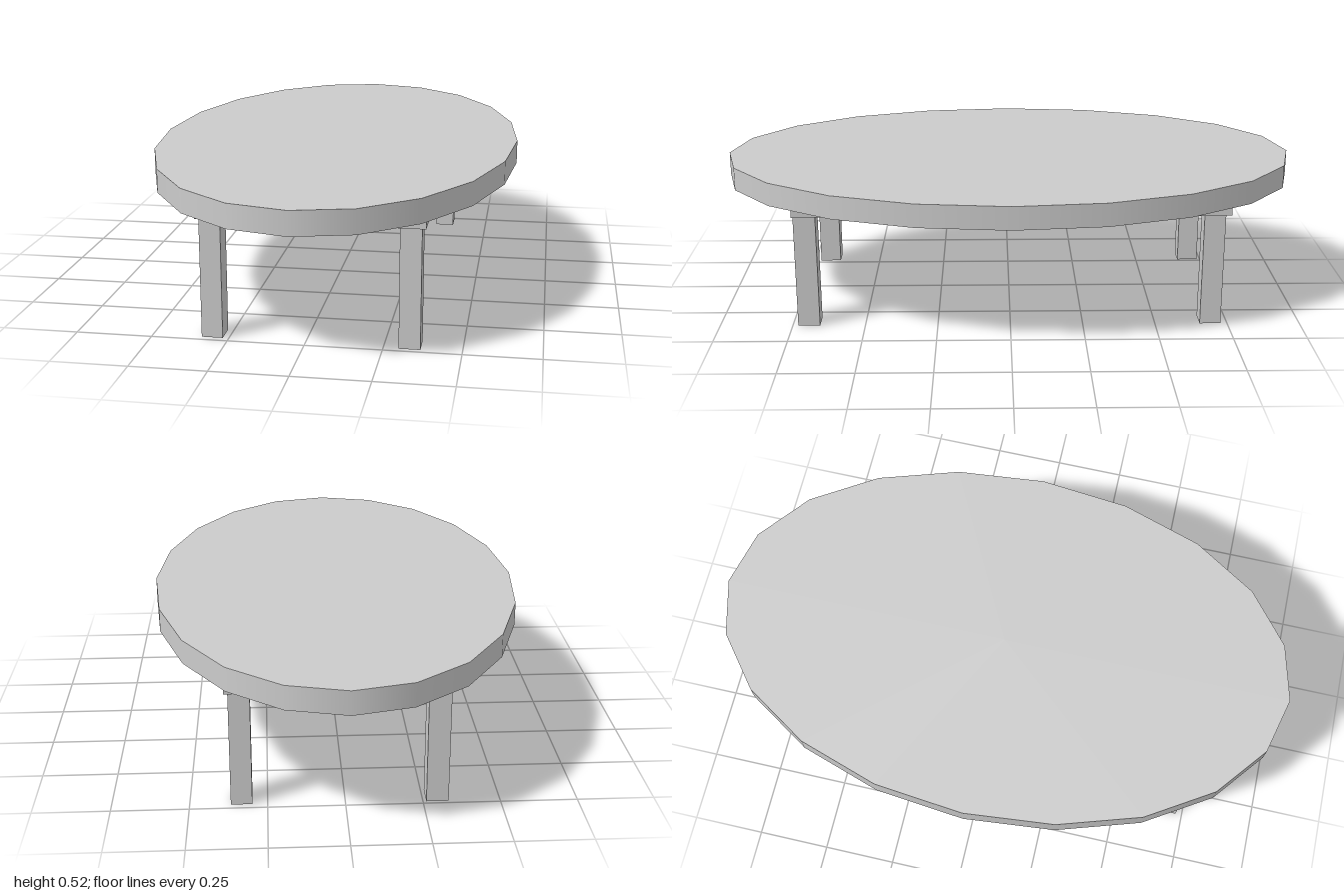
import * as THREE from 'three';

const material = new THREE.MeshStandardMaterial({ color: 0xcccccc });

// Box given by its [min, max] range on each axis
function addBox(parent, name, [x0, x1], [y0, y1], [z0, z1]) {
  const mesh = new THREE.Mesh(new THREE.BoxGeometry(x1 - x0, y1 - y0, z1 - z0), material);
  mesh.position.set((x0 + x1) / 2, (y0 + y1) / 2, (z0 + z1) / 2);
  mesh.name = name;
  parent.add(mesh);
}

export function createModel() {
  const table = new THREE.Group();
  table.name = 'ovalTable';

  // Oval top: a twenty-sided disc stretched along z
  const topGeometry = new THREE.CylinderGeometry(1, 1, 0.08, 20);
  topGeometry.scale(0.632, 1, 1);
  const top = new THREE.Mesh(topGeometry, material);
  top.name = 'tableTop';
  top.position.y = 0.476;
  table.add(top);

  // Apron frame: two long rails joined by two shallower cross rails
  const frame = new THREE.Group();
  frame.name = 'apronFrame';
  addBox(frame, 'leftRail', [0.287, 0.38], [0.397, 0.437], [-0.745, 0.735]);
  addBox(frame, 'rightRail', [-0.35, -0.26], [0.397, 0.437], [-0.745, 0.735]);
  addBox(frame, 'frontRail', [-0.26, 0.287], [0.404, 0.437], [0.6, 0.715]);
  addBox(frame, 'backRail', [-0.26, 0.287], [0.404, 0.437], [-0.715, -0.6]);
  table.add(frame);

  // Four square legs, set slightly unevenly
  const legs = [
    ['frontLeftLeg', [0.299, 0.368], [0.656, 0.731]],
    ['frontRightLeg', [-0.339, -0.27], [0.652, 0.727]],
    ['backLeftLeg', [0.299, 0.368], [-0.727, -0.655]],
    ['backRightLeg', [-0.333, -0.261], [-0.738, -0.663]],
  ];
  for (const [name, x, z] of legs) addBox(table, name, x, [0, 0.4], z);

  return table;
}
